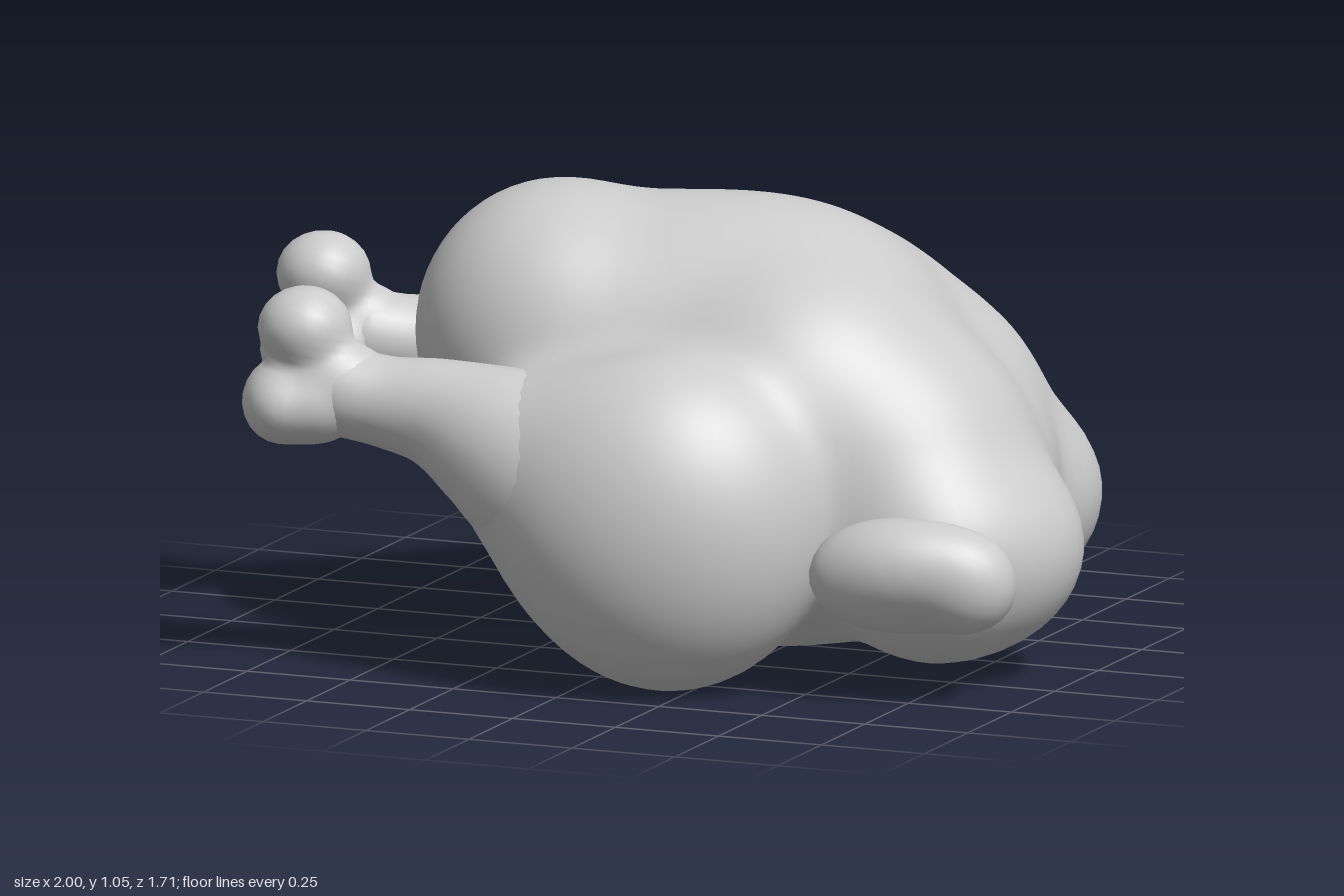
import * as THREE from 'three';
import { mergeVertices } from 'three/addons/utils/BufferGeometryUtils.js';

const material = new THREE.MeshStandardMaterial({ color: 0xcccccc, roughness: 0.7 });

// Weld seams and give the surface smooth normals.
function smoothMesh(name, geometry) {
  geometry.deleteAttribute('uv');
  geometry.deleteAttribute('normal');
  const welded = mergeVertices(geometry, 1e-4);
  welded.computeVertexNormals();
  const mesh = new THREE.Mesh(welded, material);
  mesh.name = name;
  return mesh;
}

// Approximate distance to an ellipsoid [cx, cy, cz, rx, ry, rz].
function ellipsoidDistance(p, [cx, cy, cz, rx, ry, rz]) {
  const x = (p.x - cx) / rx, y = (p.y - cy) / ry, z = (p.z - cz) / rz;
  const k0 = Math.hypot(x, y, z);
  const k1 = Math.hypot(x / rx, y / ry, z / rz);
  return k1 < 1e-6 ? -Math.min(rx, ry, rz) : (k0 * (k0 - 1)) / k1;
}

// Shrink a sphere onto a soft blend of ellipsoids.
function wrap(name, centre, blobs, blend, segments) {
  const geometry = new THREE.SphereGeometry(1, segments, segments * 0.6);
  const pos = geometry.attributes.position;
  const origin = new THREE.Vector3(...centre);
  const dir = new THREE.Vector3(), p = new THREE.Vector3();
  const field = (q) => -blend * Math.log(
    blobs.reduce((sum, b) => sum + Math.exp(-ellipsoidDistance(q, b) / blend), 0));
  for (let i = 0; i < pos.count; i++) {
    dir.fromBufferAttribute(pos, i).normalize();
    let t = 1.5;
    for (let step = 0; step < 90; step++) {
      p.copy(origin).addScaledVector(dir, t);
      const d = field(p);
      if (d < 5e-4 || t < 0.01) break;
      t -= d * 0.7;
    }
    pos.setXYZ(i, p.x, Math.max(p.y, 0.002), p.z);
  }
  return smoothMesh(name, geometry);
}

// Tube whose radius follows the fourth number of each [x, y, z, radius].
function taperedTube(name, stations, segments, sides) {
  const path = new THREE.CatmullRomCurve3(stations.map(([x, y, z]) => new THREE.Vector3(x, y, z)));
  const radii = new THREE.SplineCurve(stations.map((s, i) => new THREE.Vector2(i, s[3])));
  const geometry = new THREE.TubeGeometry(path, segments, 1, sides);
  const pos = geometry.attributes.position;
  const p = new THREE.Vector3();
  for (let i = 0; i <= segments; i++) {
    const centre = path.getPointAt(i / segments);
    const radius = radii.getPoint(path.getUtoTmapping(i / segments)).y;
    for (let j = 0; j <= sides; j++) {
      const k = i * (sides + 1) + j;
      p.fromBufferAttribute(pos, k).sub(centre).multiplyScalar(radius).add(centre);
      pos.setXYZ(k, p.x, p.y, p.z);
    }
  }
  return smoothMesh(name, geometry);
}

export function createModel() {
  const model = new THREE.Group();
  model.name = 'roastBird';

  // The bird lies turned about the vertical; its own long axis is x.
  const bird = new THREE.Group();
  bird.name = 'bird';
  bird.rotation.y = THREE.MathUtils.degToRad(19);
  bird.position.set(0.028, 0, 0.08);
  model.add(bird);

  // Breast, back ridge, belly and neck opening on the centre line
  const bodyBlobs = [
    [0.0, 0.6, 0, 0.5, 0.42, 0.41],
    [-0.28, 0.72, 0, 0.32, 0.332, 0.335],
    [0.2, 0.61, 0, 0.42, 0.395, 0.36],
    [0.2, 0.26, 0, 0.5, 0.245, 0.44],
    [0.52, 0.4, 0, 0.31, 0.29, 0.28],
  ];
  for (const s of [-1, 1]) {
    bodyBlobs.push(
      [0.27, 0.58, s * 0.2, 0.37, 0.35, 0.35], // flank
      [0.46, 0.46, s * 0.22, 0.34, 0.33, 0.34], // sloping shoulder
      [0.62, 0.295, s * 0.3, 0.295, 0.245, 0.29], // shoulder tip
      [0.58, 0.3, s * 0.42, 0.2, 0.22, 0.21], // wing joint
      [0.0, 0.38, s * 0.5, 0.355, 0.38, 0.285], // thigh
      [-0.17, 0.43, s * 0.46, 0.24, 0.28, 0.22], // thigh taper
      [-0.32, 0.5, s * 0.425, 0.17, 0.18, 0.16],
    );
  }
  bird.add(wrap('body', [0.1, 0.42, 0], bodyBlobs, 0.036, 130));

  for (const s of [-1, 1]) {
    const side = s > 0 ? 'left' : 'right';

    // Drumstick narrowing from the thigh to the ankle
    bird.add(taperedTube(side + 'Drumstick', [
      [-0.02, 0.4, s * 0.48, 0.2],
      [-0.15, 0.43, s * 0.47, 0.235],
      [-0.28, 0.485, s * 0.44, 0.215],
      [-0.41, 0.55, s * 0.4, 0.17],
      [-0.53, 0.595, s * 0.365, 0.125],
      [-0.65, 0.615, s * 0.34, 0.103],
      [-0.76, 0.64, s * 0.32, 0.1],
      [-0.82, 0.67, s * 0.305, 0.07],
    ], 40, 28));

    // Two-lobed knuckle at the end of the bone
    bird.add(wrap(side + 'Knuckle', [-0.8, 0.67, s * 0.31], [
      [-0.83, 0.775, s * 0.305, 0.105, 0.092, 0.11],
      [-0.885, 0.605, s * 0.295, 0.085, 0.092, 0.14],
      [-0.81, 0.605, s * 0.31, 0.11, 0.092, 0.12],
      [-0.75, 0.655, s * 0.325, 0.12, 0.09, 0.09],
    ], 0.015, 40));

    // Folded wing stub, leaning outward at the top
    bird.add(wrap(side + 'Wing', [0.57, 0.3, s * 0.63], [
      [0.68, 0.28, s * 0.66, 0.105, 0.105, 0.09],
      [0.57, 0.32, s * 0.66, 0.17, 0.1, 0.095],
      [0.49, 0.29, s * 0.61, 0.17, 0.12, 0.11],
      [0.6, 0.25, s * 0.58, 0.18, 0.09, 0.11],
    ], 0.02, 44));
  }
  return model;
}
